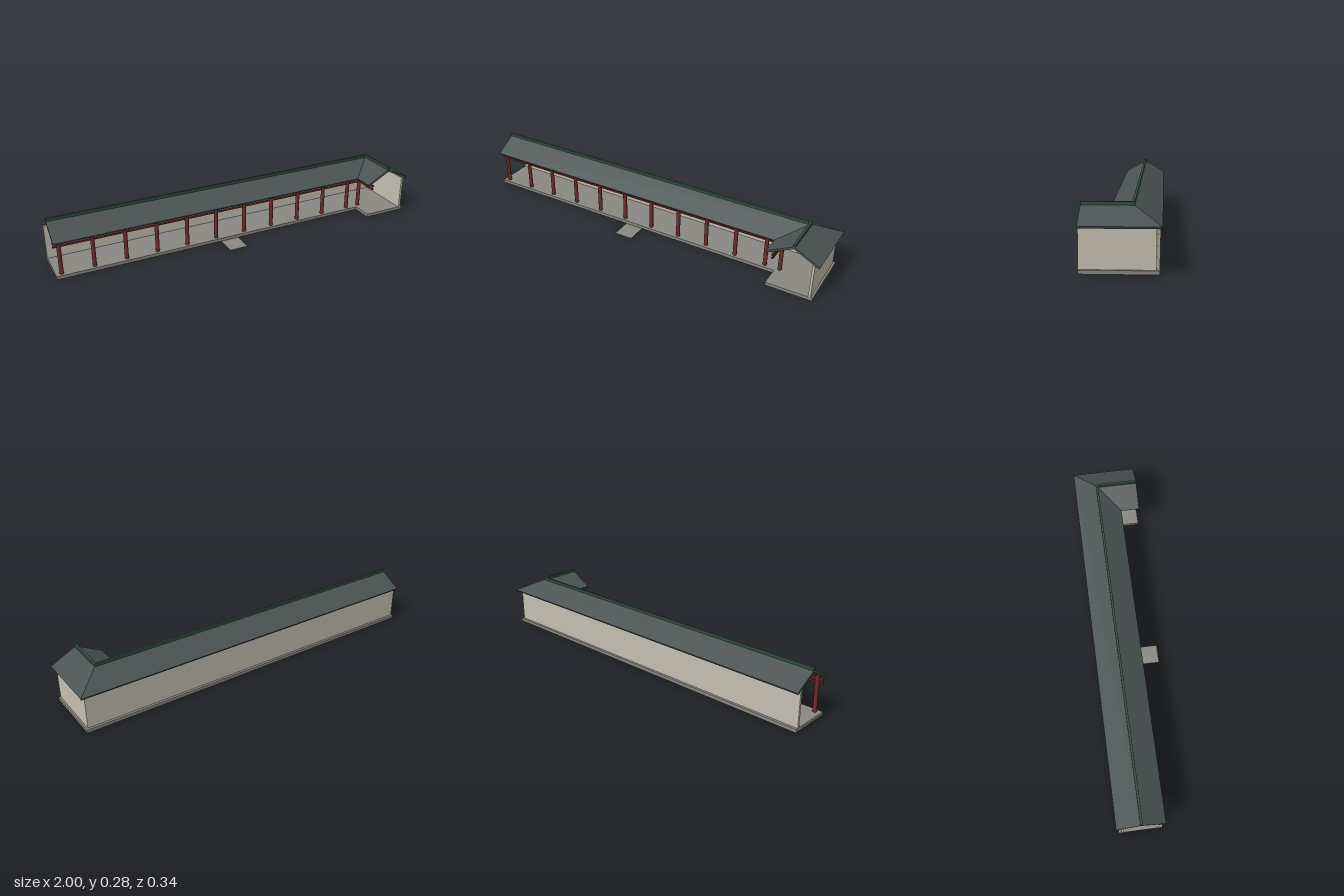
import * as THREE from 'three';

const mat = (name, color) => {
  const m = new THREE.MeshStandardMaterial({ color });
  m.name = name;
  return m;
};

export function createModel() {
  const slate = mat('slate roof', 0x4a5252);
  const soffit = mat('dark red soffit', 0x5c2420);
  const green = mat('green ridge', 0x2f4f3f);
  const plaster = mat('plaster wall', 0xc4bfb0);
  const stone = mat('grey stone', 0x8a8881);
  const red = mat('red timber', 0x702c28);

  const model = new THREE.Group();
  const add = (name, geometry, material) => {
    const mesh = new THREE.Mesh(geometry, material);
    mesh.name = name;
    model.add(mesh);
    return mesh;
  };
  // Box given by its minimum and maximum corners
  const box = (name, material, [x0, y0, z0], [x1, y1, z1]) =>
    add(name, new THREE.BoxGeometry(x1 - x0, y1 - y0, z1 - z0), material)
      .position.set((x0 + x1) / 2, (y0 + y1) / 2, (z0 + z1) / 2);

  const END = 0.1725;            // cut end of the wing
  const RX = 0.866, RZ = -0.05;  // ridge lines
  const RIDGE = 0.272, EAVE = 0.203, FLOOR = 0.02;
  const COL_X = 0.767, COL_Z = 0.04;

  // L-shaped floor slab and thin entrance paving
  const plan = new THREE.Shape([
    [-1, 0.161], [0.985, 0.161], [0.985, -END], [0.745, -END], [0.745, -0.063], [-1, -0.063],
  ].map(([x, y]) => new THREE.Vector2(x, y)));
  const slab = add('floorSlab', new THREE.ExtrudeGeometry(plan, { depth: FLOOR - 0.003, bevelEnabled: false }), stone);
  slab.rotation.x = -Math.PI / 2;
  slab.position.y = 0.003;
  box('entrancePaving', stone, [-0.122, 0, 0.055], [-0.022, 0.003, END]);

  // Back and side walls
  box('backWall', plaster, [-1, FLOOR, -0.148], [0.975, 0.203, -0.136]);
  box('sideWall', plaster, [0.963, FLOOR, -0.136], [0.975, 0.203, END]);

  // Row of columns plus the corner column
  const columnGeo = new THREE.CylinderGeometry(0.0105, 0.0105, 0.185, 12);
  const columnXs = Array.from({ length: 11 }, (_, i) => -0.97 + i * 0.1657);
  for (const x of [...columnXs, COL_X]) {
    add('column', columnGeo, red).position.set(x, FLOOR + 0.0925, COL_Z);
  }

  // Two tiers of beams along the corridor and the wing
  for (const [y, h] of [[0.189, 0.01], [0.171, 0.008]]) {
    box('corridorBeam', red, [-1, y - h / 2, COL_Z - 0.005], [COL_X + 0.005, y + h / 2, COL_Z + 0.005]);
    box('wingBeam', red, [COL_X - 0.005, y - h / 2, COL_Z + 0.005], [COL_X + 0.005, y + h / 2, END]);
  }

  // Roof slope: a quad thickened along its normal, with a coloured underside
  const roofSlope = (name, corners) => {
    let top = corners.map((c) => new THREE.Vector3(...c));
    const normalOf = (p) => p[1].clone().sub(p[0]).cross(p[2].clone().sub(p[0])).normalize();
    if (normalOf(top).y < 0) top.reverse();
    const drop = normalOf(top).multiplyScalar(-0.011);
    const low = top.map((p) => p.clone().add(drop));
    const points = [];
    const quad = (a, b, c, d) => [a, b, c, a, c, d].forEach((p) => points.push(p));
    quad(...top);
    for (let i = 0; i < 4; i++) {
      const j = (i + 1) % 4;
      quad(top[i], low[i], low[j], top[j]);
    }
    quad(low[3], low[2], low[1], low[0]);
    const geometry = new THREE.BufferGeometry().setFromPoints(points);
    geometry.addGroup(0, 30, 0);
    geometry.addGroup(30, 6, 1);
    geometry.computeVertexNormals();
    add(name, geometry, [slate, soffit]);
  };
  const corner = [RX, RIDGE, RZ];
  const valley = [0.733, EAVE, 0.072];
  const hip = [1, EAVE, -END];
  const gableTop = [RX, RIDGE, END];
  const ridgeEnd = [-1, RIDGE, RZ];
  roofSlope('corridorRoofBack', [ridgeEnd, corner, hip, [-1, EAVE, -END]]);
  roofSlope('corridorRoofFront', [[-1, EAVE, 0.072], valley, corner, ridgeEnd]);
  roofSlope('wingRoofInner', [valley, [0.733, EAVE, END], gableTop, corner]);
  roofSlope('wingRoofOuter', [corner, gableTop, [1, EAVE, END], hip]);

  // Ridge caps
  box('corridorRidge', green, [-1, 0.263, RZ - 0.006], [RX + 0.006, 0.284, RZ + 0.006]);
  box('wingRidge', green, [RX - 0.006, 0.263, RZ + 0.006], [RX + 0.006, 0.284, END]);

  return model;
}
